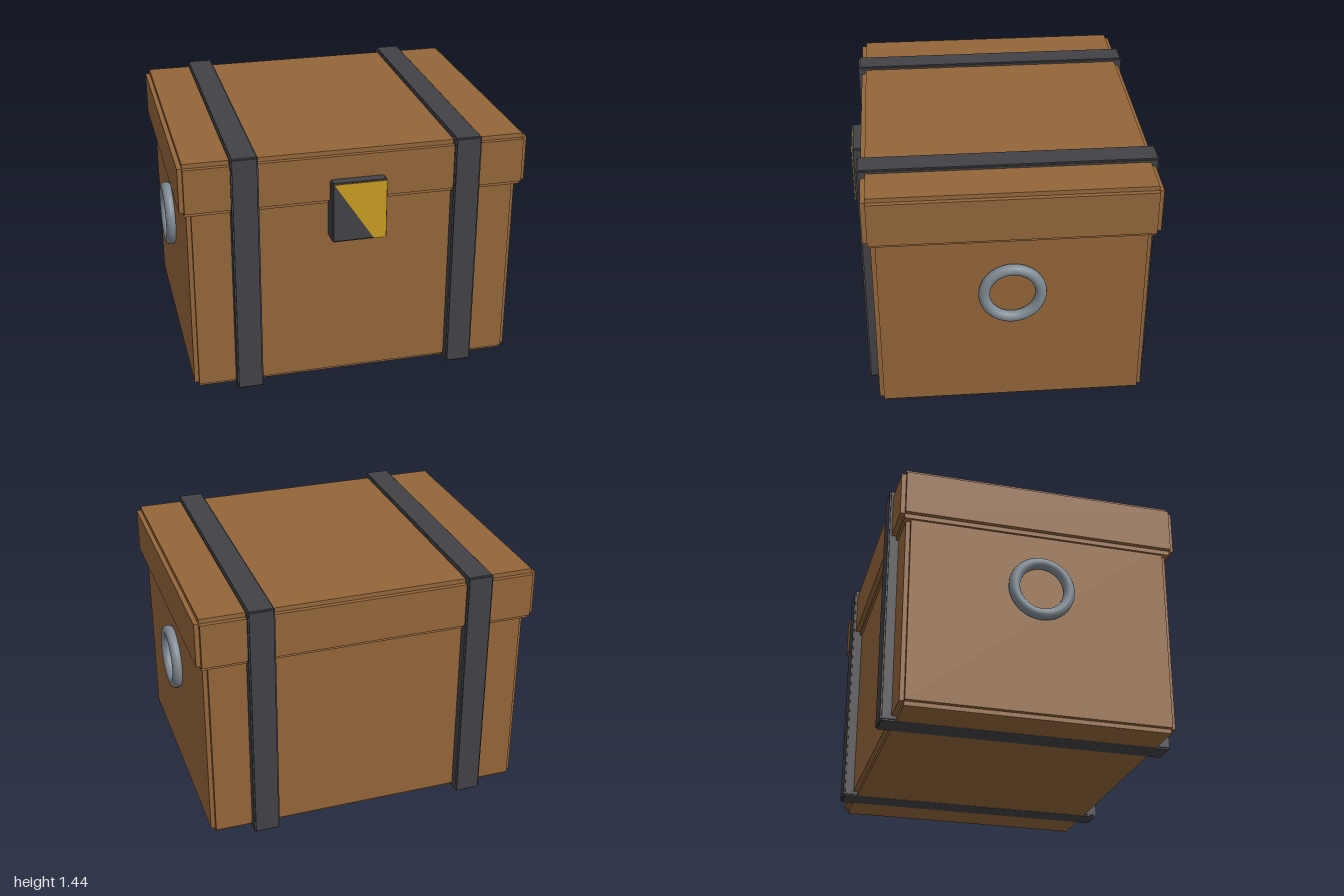
import * as THREE from 'three';
import { mergeGeometries } from 'three/addons/utils/BufferGeometryUtils.js';

const paint = (name, color) => {
  const m = new THREE.MeshStandardMaterial({ color });
  m.name = name;
  return m;
};

// Block with stepped edges: three crossing boxes, each full length on one axis
function steppedBlock([x0, x1], [y0, y1], [z0, z1], step) {
  const size = [x1 - x0, y1 - y0, z1 - z0];
  const boxes = [0, 1, 2].map((axis) =>
    new THREE.BoxGeometry(...size.map((s, i) => (i === axis ? s : s - 2 * step))));
  return mergeGeometries(boxes).translate((x0 + x1) / 2, (y0 + y1) / 2, (z0 + z1) / 2);
}

export function createModel() {
  const wood = paint('wood', 0x94663a);
  const iron = paint('dark iron', 0x424146);
  const brass = paint('brass', 0xc99c22);
  const steel = paint('steel', 0x7f8a93);

  const chest = new THREE.Group();
  chest.name = 'chest';
  const add = (name, geometry, material) => {
    const mesh = new THREE.Mesh(geometry, material);
    mesh.name = name;
    chest.add(mesh);
    return mesh;
  };

  // Wooden body and overhanging lid
  add('body', steppedBlock([-0.945, 0.945], [0.002, 1.2], [-0.79, 0.75], 0.025), wood);
  add('lid', steppedBlock([-0.985, 0.985], [1.11, 1.42], [-0.83, 0.79], 0.026), wood);

  for (const side of [-1, 1]) {
    const label = side > 0 ? 'left' : 'right';

    // Iron strap around the chest
    const strap = steppedBlock([-0.076, 0.076], [0, 1.44], [-0.85, 0.81], 0.008);
    add(label + 'Strap', strap, iron).position.x = side * 0.63;

    // Ring handle on the end wall
    const ring = add(label + 'Handle', new THREE.TorusGeometry(0.159, 0.032, 16, 48), steel);
    ring.rotation.y = Math.PI / 2;
    ring.position.set(side * 0.968, 0.77, -0.02);
  }

  // Lock with a diagonal brass face
  add('lock', steppedBlock([-0.158, 0.154], [0.903, 1.26], [0.73, 0.853], 0.008), iron);
  const face = new THREE.Shape([
    new THREE.Vector2(-0.147, 1.254),
    new THREE.Vector2(0.08, 0.908),
    new THREE.Vector2(0.15, 0.908),
    new THREE.Vector2(0.15, 1.254),
  ]);
  const plate = new THREE.ExtrudeGeometry(face, { depth: 0.004, bevelEnabled: false });
  add('lockFace', plate, brass).position.z = 0.851;

  return chest;
}
